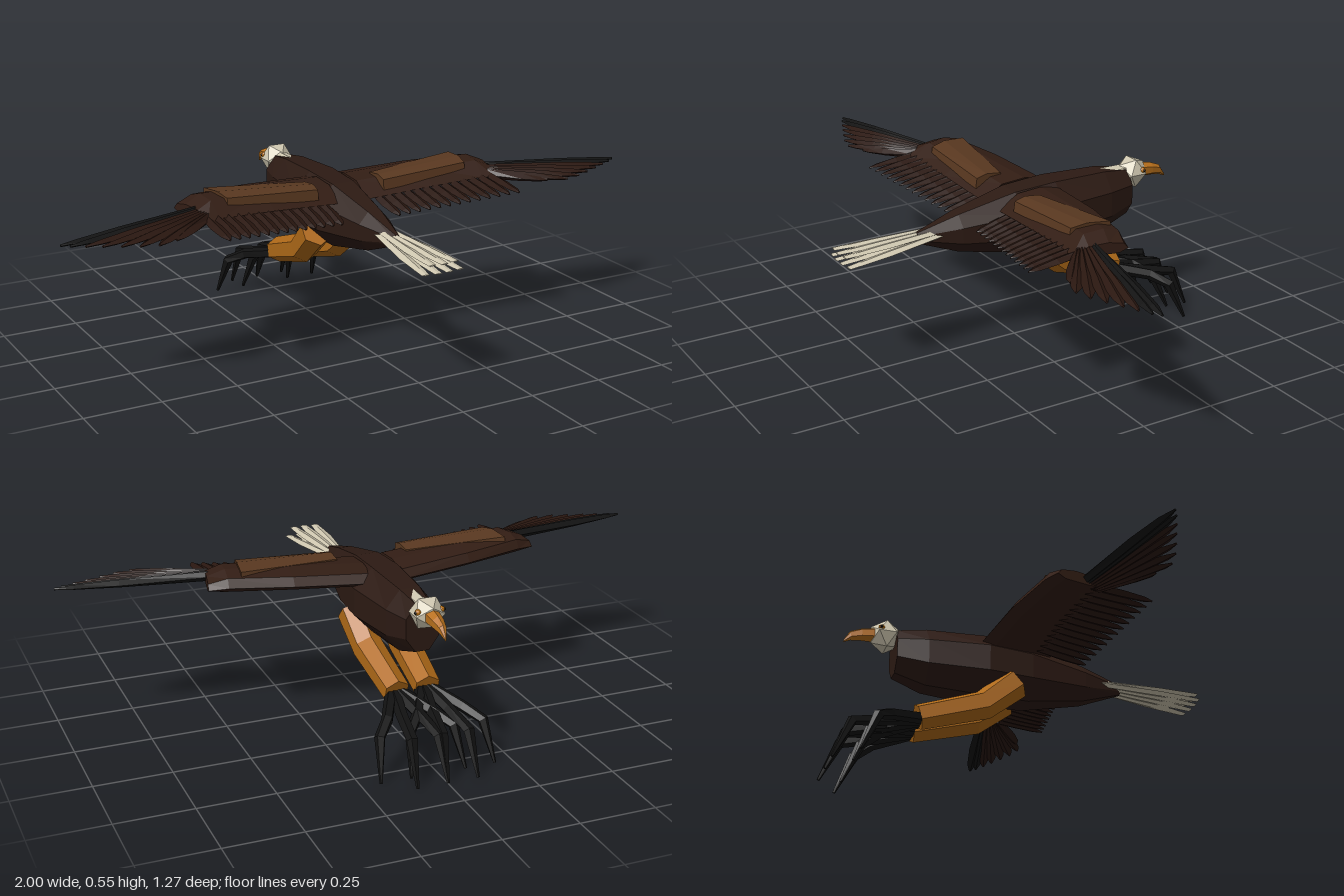
import * as THREE from 'three';

const V = (x, y, z) => new THREE.Vector3(x, y, z);
const mat = (color) => new THREE.MeshStandardMaterial({ color, flatShading: true });
const M = {
  body: mat(0x2c1a13), wing: mat(0x321d14), covert: mat(0x593820), feather: mat(0x2a1710),
  black: mat(0x121212), orange: mat(0xb06a18), beak: mat(0xb8701c), white: mat(0xcfc7b0),
  amber: mat(0xb87010),
};

// Skin between rings of points, closed at both ends and always facing outward
function loft(name, rings, material) {
  const tris = [], n = rings[0].length, last = rings.length - 1;
  for (let i = 0; i < last; i++) for (let j = 0; j < n; j++) {
    const k = (j + 1) % n, a = rings[i], b = rings[i + 1];
    tris.push([a[j], a[k], b[k]], [a[j], b[k], b[j]]);
  }
  for (let j = 1; j < n - 1; j++) {
    tris.push([rings[0][0], rings[0][j + 1], rings[0][j]]);
    tris.push([rings[last][0], rings[last][j], rings[last][j + 1]]);
  }
  const o = rings[0][0];
  const volume = tris.reduce((s, [a, b, c]) =>
    s + a.clone().sub(o).dot(b.clone().sub(o).cross(c.clone().sub(o))), 0);
  const points = tris.flatMap(([a, b, c]) => (volume < 0 ? [a, c, b] : [a, b, c]));
  const geo = new THREE.BufferGeometry().setFromPoints(points);
  geo.computeVertexNormals();
  const mesh = new THREE.Mesh(geo, material);
  mesh.name = name;
  return mesh;
}

// Elliptical polygon across a direction
function ring(c, dir, rx, ry, n, phase = 0) {
  const d = dir.clone().normalize();
  const side = V(0, 1, 0).cross(d).normalize(), up = d.clone().cross(side);
  return Array.from({ length: n }, (_, i) => {
    const a = phase + (i / n) * Math.PI * 2;
    return c.clone().addScaledVector(side, Math.cos(a) * rx).addScaledVector(up, Math.sin(a) * ry);
  });
}

// Faceted limb through points with a radius at each
function limb(name, pts, radii, n, material) {
  const rings = pts.map((p, i) => {
    const dir = pts[Math.min(i + 1, pts.length - 1)].clone().sub(pts[Math.max(i - 1, 0)]);
    return ring(p, dir, radii[i], radii[i], n, Math.PI / n);
  });
  return loft(name, rings, material);
}

// Thin pointed blade with a diamond section
function feather(name, a, b, w, t, material, blunt = 0.2) {
  const dir = b.clone().sub(a);
  const rings = [[0, 0.55, 1], [0.6, 1, 0.8], [0.88, 0.75, 0.5], [1, blunt, 0.25]].map(
    ([f, fw, ft]) => ring(a.clone().lerp(b, f), dir, w * fw, t * ft, 4));
  return loft(name, rings, material);
}

const lerp = THREE.MathUtils.lerp;

function makeWing(s) {
  const wing = new THREE.Group();
  wing.name = s > 0 ? 'leftWing' : 'rightWing';

  // Arm: sections from shoulder to wrist [x, leading z, trailing z, y, end skew]
  const arm = [[0.05, -0.155, 0.09, 0.495, 0], [0.3, -0.125, 0.1, 0.508, 0.01], [0.5, -0.08, 0.11, 0.515, 0.02], [0.56, -0.06, 0.12, 0.505, 0.035]];
  wing.add(loft('wingArm', arm.map(([x, l, t, y, k], i) => {
    const h = i === 3 ? 0.6 : 1;
    return [[0, -0.01], [0.08, 0.018], [0.35, 0.032], [0.7, 0.026], [1, -0.018], [0.6, -0.03], [0.15, -0.03]]
      .map(([f, dy]) => V(s * (x - k * f), y + dy * h, lerp(l, t, f)));
  }), M.wing));

  // Raised lighter coverts on top
  const covert = [[0.12, 0.12, -0.02, 0.07, 0.534], [0.455, 0.435, -0.065, 0.065, 0.55]];
  wing.add(loft('wingCoverts', covert.map(([x0, x1, z0, z1, y]) => [
    V(s * x0, y - 0.03, z0 - 0.005), V(s * x0, y - 0.002, z0), V(s * lerp(x0, x1, 0.5), y + 0.004, lerp(z0, z1, 0.6)),
    V(s * x1, y - 0.006, z1), V(s * x1, y - 0.04, z1 + 0.005)]), M.covert));

  // Trailing secondary feathers
  for (let i = 0; i < 13; i++) {
    const f = i / 12, x = lerp(0.1, 0.515, f);
    wing.add(feather('secondaryFeather', V(s * x, lerp(0.485, 0.505, f), 0.02),
      V(s * (x + 0.005), lerp(0.445, 0.478, f), lerp(0.2, 0.265, f)), 0.022, 0.012, M.feather));
  }

  // Fanned primary feathers, dark at the leading edge
  const tips = [[1, 0.135], [0.975, 0.15], [0.935, 0.168], [0.89, 0.187], [0.84, 0.208], [0.79, 0.228], [0.735, 0.24], [0.67, 0.215]];
  tips.forEach(([x, z], i) => {
    const f = i / 7;
    wing.add(feather('primaryFeather', V(s * 0.51, 0.511 - f * 0.012, lerp(0.035, 0.09, f)),
      V(s * x, 0.5 - f * 0.012, z), 0.022, 0.016, i < 2 ? M.black : M.feather));
  });
  return wing;
}

function makeLeg(s) {
  const leg = new THREE.Group();
  leg.name = s > 0 ? 'leftLeg' : 'rightLeg';
  // Feathered thigh and shin
  leg.add(limb('thigh', [V(s * 0.07, 0.355, -0.035), V(s * 0.062, 0.265, -0.14), V(s * 0.052, 0.195, -0.355)],
    [0.054, 0.05, 0.044], 6, M.orange));
  // Four hooked toes fanned from the shin
  for (const [dx, kz, tz, ky] of [[-0.14, -0.525, -0.565, 0.135], [-0.05, -0.59, -0.635, 0.14], [0.05, -0.59, -0.635, 0.14], [0.14, -0.525, -0.565, 0.135]]) {
    const x = 0.05;
    leg.add(limb('toe', [V(s * (x + dx * 0.12), 0.188, -0.345), V(s * (x + dx * 0.55), 0.16, -0.46),
      V(s * (x + dx * 0.87), ky - 0.005, kz + 0.015), V(s * (x + dx), 0.002, tz)], [0.02, 0.019, 0.018, 0.005], 5, M.black));
  }
  return leg;
}

export function createModel() {
  const model = new THREE.Group();
  model.name = 'bird';

  // Body: [z, half width, bottom, top]
  const body = [[-0.43, 0.055, 0.355, 0.51], [-0.33, 0.08, 0.322, 0.524], [-0.13, 0.104, 0.312, 0.53],
    [0.02, 0.095, 0.314, 0.522], [0.22, 0.055, 0.353, 0.48], [0.36, 0.012, 0.405, 0.44]];
  const k = 1 / Math.cos(Math.PI / 8);
  model.add(loft('body', body.map(([z, w, b, t]) =>
    ring(V(0, (b + t) / 2, z), V(0, 0, 1), w * k, ((t - b) / 2) * k, 8, Math.PI / 8)), M.body));

  // Neck and head
  model.add(limb('neck', [V(0, 0.488, -0.34), V(0, 0.49, -0.45)], [0.036, 0.032], 7, M.white));
  const head = new THREE.Mesh(new THREE.IcosahedronGeometry(0.056, 0), M.white);
  head.name = 'head';
  head.position.set(0, 0.492, -0.46);
  model.add(head);

  // Hooked beak
  const beak = [[-0.495, 0.492, 0.026, 0.026], [-0.54, 0.487, 0.021, 0.022], [-0.575, 0.478, 0.013, 0.017], [-0.597, 0.456, 0.003, 0.005]];
  model.add(loft('beak', beak.map(([z, y, w, h]) => ring(V(0, y, z), V(0, 0, -1), w, h, 6, Math.PI / 6)), M.beak));

  // Eyes
  for (const s of [-1, 1]) {
    const eye = new THREE.Mesh(new THREE.IcosahedronGeometry(0.011, 1), M.amber);
    eye.name = 'eye';
    eye.position.set(s * 0.038, 0.504, -0.48);
    const pupil = new THREE.Mesh(new THREE.IcosahedronGeometry(0.006, 0), M.black);
    pupil.name = 'pupil';
    pupil.position.set(s * 0.046, 0.504, -0.482);
    model.add(eye, pupil);
  }

  // Tail fan in two layers
  const tail = new THREE.Group();
  tail.name = 'tail';
  for (let i = -3; i <= 3; i++) {
    const low = i % 2 !== 0;
    tail.add(feather('tailFeather', V(i * 0.008, low ? 0.425 : 0.433, 0.28),
      V(i * 0.02, low ? 0.4 : 0.428, 0.635 - Math.abs(i) * 0.003), 0.021, 0.009, M.white, 0.6));
  }
  model.add(tail);

  for (const s of [1, -1]) model.add(makeWing(s), makeLeg(s));
  return model;
}
